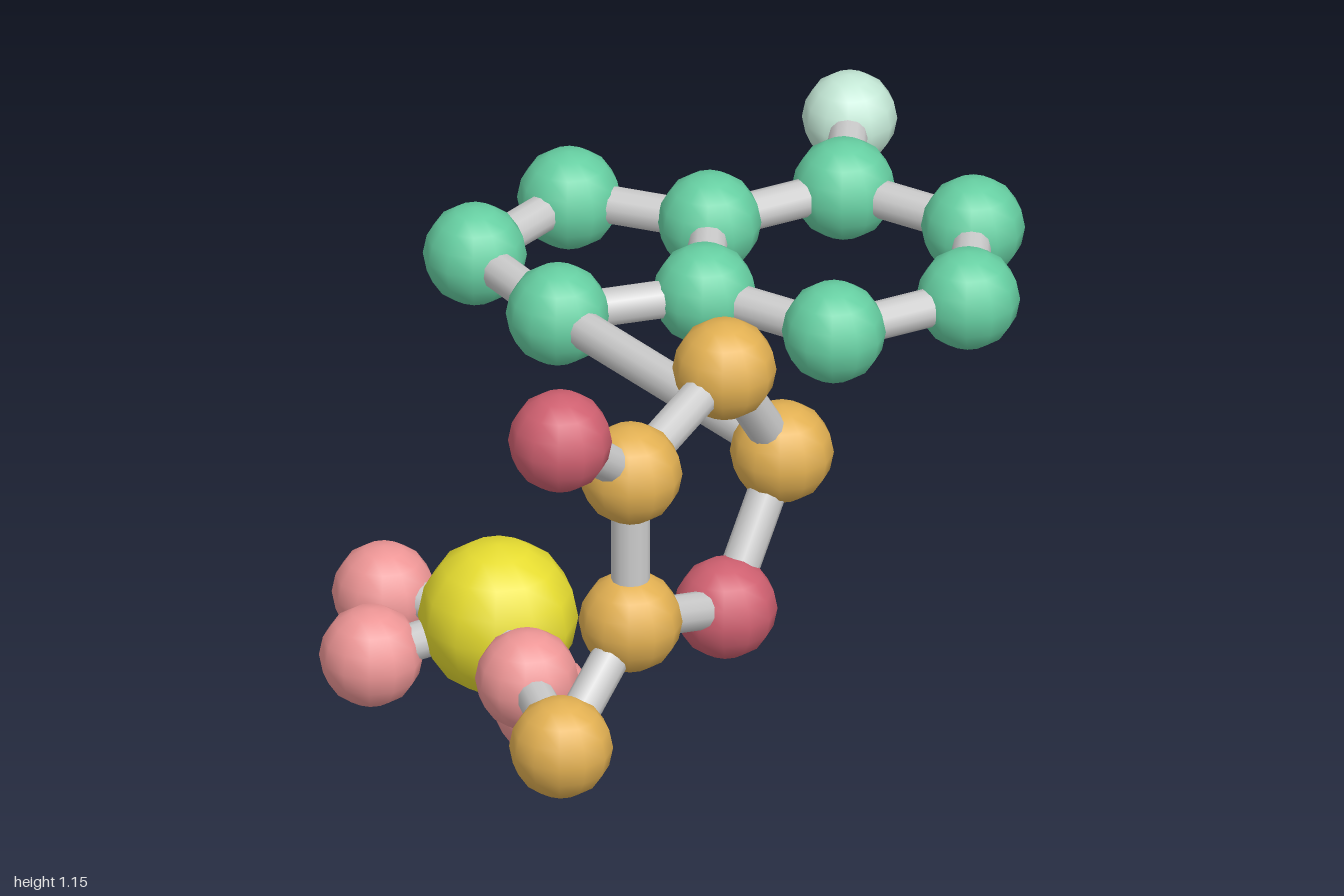
import * as THREE from 'three';

const R = 0.12, BOND_R = 0.045;
const material = (color) => new THREE.MeshStandardMaterial({ color });
const green = material(0x66cfa2), pale = material(0xc4e8d6), amber = material(0xe2b052);
const red = material(0xcf6070), pink = material(0xee9696), yellow = material(0xe6dc30);
const grey = material(0xcccccc);

// Atoms: position, material, radius
const Y = 0.64;
const groups = {
  baseRings: {
    ringA: [-0.17, Y, -0.35, green], ringB: [-0.2, Y, -0.7, green],
    ringC: [0.12, Y, -0.84, green], ringD: [0.35, Y, -0.585, green],
    ringE: [0.175, Y, -0.28, green], ringF: [0.35, Y, 0.025, green],
    ringG: [0.7, Y, 0.025, green], ringH: [0.875, Y, -0.28, green],
    ringI: [0.7, Y, -0.585, green], sideAtom: [0.875, Y, -0.885, pale, 0.11],
  },
  sugar: {
    sugar1: [-0.03, Y, 0.485, amber], sugar2: [-0.23, 0.95, 0.58, amber],
    sugar3: [-0.56, 0.835, 0.74, amber], sugar4: [-0.56, 0.45, 0.74, amber],
    sugar5: [-0.81, 0.245, 0.87, amber], ringOxygen: [-0.23, 0.33, 0.585, red],
    sideOxygen: [-0.81, 1.04, 0.865, red],
  },
  phosphate: {
    phosphorus: [-0.61, 0.215, 0.185, yellow, 0.185],
    linkOxygen: [-0.71, 0.23, 0.515, pink], oxygen1: [-0.64, 0.125, 0.47, pink],
    oxygen2: [-0.775, 0.2, -0.065, pink], oxygen3: [-0.88, 0.125, 0.07, pink],
  },
};

// Chains of atoms joined by bonds
const chains = [
  'ringA ringB ringC ringD ringE ringA', 'ringE ringF ringG ringH ringI ringD',
  'ringI sideAtom', 'ringA sugar1',
  'sugar1 sugar2 sugar3 sugar4 ringOxygen sugar1', 'sugar3 sideOxygen',
  'sugar4 sugar5 linkOxygen phosphorus oxygen1', 'oxygen2 phosphorus oxygen3',
];

function makeBond(a, b) {
  const dir = b.clone().sub(a);
  const bond = new THREE.Mesh(new THREE.CylinderGeometry(BOND_R, BOND_R, dir.length(), 12), grey);
  bond.position.copy(a).add(b).multiplyScalar(0.5);
  bond.quaternion.setFromUnitVectors(new THREE.Vector3(0, 1, 0), dir.normalize());
  bond.name = 'bond';
  return bond;
}

export function createModel() {
  const model = new THREE.Group();
  model.name = 'molecule';
  const centres = {};
  for (const [groupName, atoms] of Object.entries(groups)) {
    const group = new THREE.Group();
    group.name = groupName;
    for (const [name, [x, y, z, mat, r = R]] of Object.entries(atoms)) {
      const atom = new THREE.Mesh(new THREE.SphereGeometry(r, 12, 8), mat);
      atom.position.set(x, y, z);
      atom.name = name;
      centres[name] = atom.position;
      group.add(atom);
    }
    model.add(group);
  }

  const bonds = new THREE.Group();
  bonds.name = 'bonds';
  for (const chain of chains) {
    const names = chain.split(' ');
    for (let i = 1; i < names.length; i++) bonds.add(makeBond(centres[names[i - 1]], centres[names[i]]));
  }
  model.add(bonds);
  return model;
}
